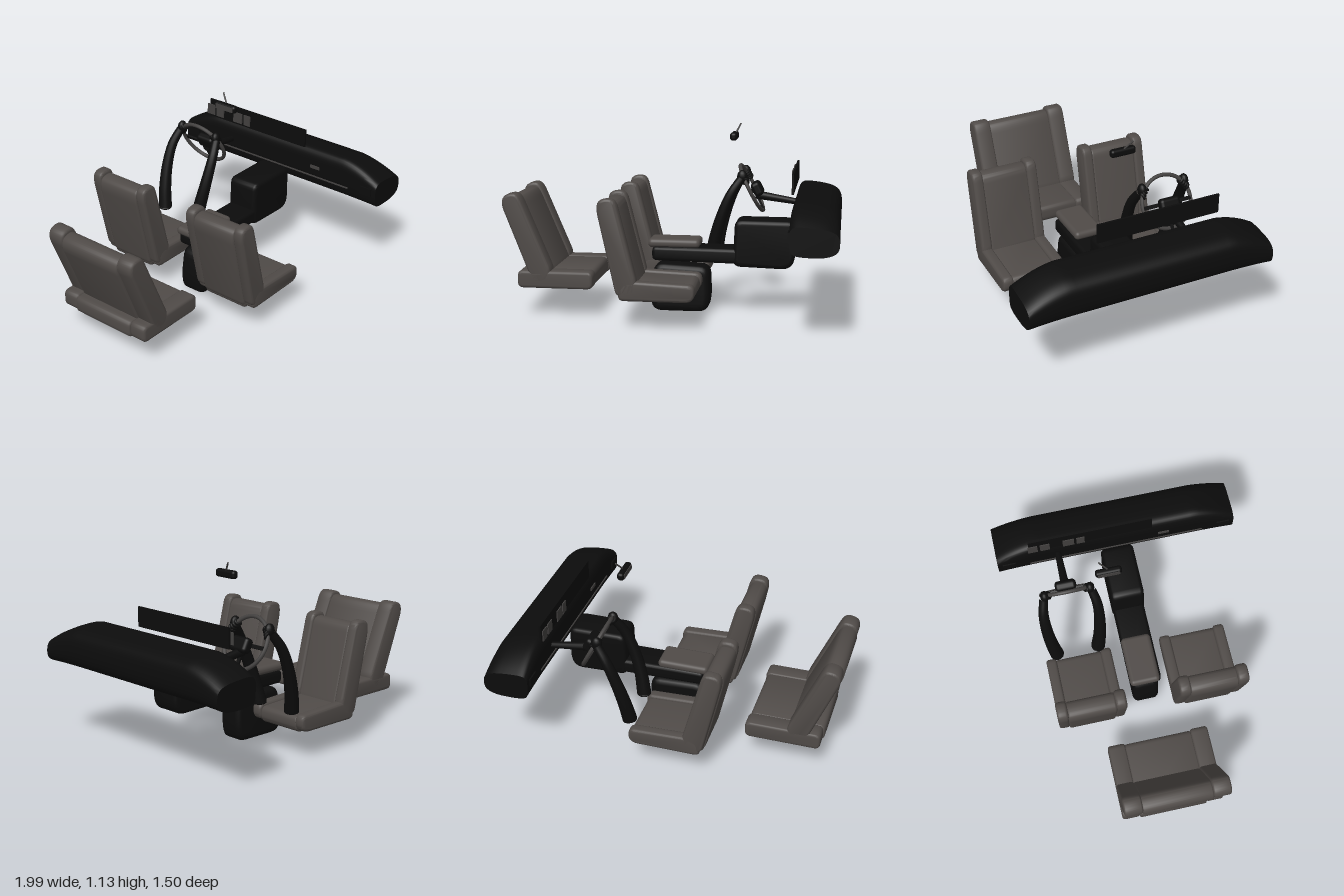
import * as THREE from 'three';
import { toCreasedNormals } from 'three/addons/utils/BufferGeometryUtils.js';
import { RoundedBoxGeometry } from 'three/addons/geometries/RoundedBoxGeometry.js';

const material = (name, color) => {
  const m = new THREE.MeshStandardMaterial({ color });
  m.name = name;
  return m;
};

export function createModel() {
  const model = new THREE.Group();
  model.name = 'carInterior';
  const fabric = material('seatFabric', 0x504b48);
  const black = material('blackTrim', 0x0c0c0c);
  const grey = material('greyTrim', 0x42403f);

  const add = (parent, name, geometry, mat, x = 0, y = 0, z = 0) => {
    const mesh = new THREE.Mesh(geometry, mat);
    mesh.name = name;
    mesh.position.set(x, y, z);
    parent.add(mesh);
    return mesh;
  };
  const group = (name) => {
    const g = new THREE.Group();
    g.name = name;
    model.add(g);
    return g;
  };

  // Side outline with rounded corners
  const roundedOutline = (points, radius) => {
    const shape = new THREE.Shape();
    const v = points.map(([x, y]) => new THREE.Vector2(x, y));
    v.forEach((p, i) => {
      const toward = (q) => p.clone().lerp(q, Math.min(0.48, radius / p.distanceTo(q)));
      const a = toward(v[(i + v.length - 1) % v.length]);
      const b = toward(v[(i + 1) % v.length]);
      if (i) shape.lineTo(a.x, a.y); else shape.moveTo(a.x, a.y);
      shape.quadraticCurveTo(p.x, p.y, b.x, b.y);
    });
    shape.closePath();
    return shape;
  };

  // Padded slab: a side outline swept from z0 to z1 with soft edges
  const slab = (points, radius, z0, z1, bevel, steps = 1) => {
    const g = new THREE.ExtrudeGeometry(roundedOutline(points, radius), {
      depth: z1 - z0 - 2 * bevel, steps, curveSegments: 5,
      bevelEnabled: bevel > 0, bevelSize: bevel, bevelThickness: bevel,
      bevelOffset: -bevel, bevelSegments: 4,
    });
    g.translate(0, 0, z0 + bevel);
    return toCreasedNormals(g, 0.7);
  };

  // Seats: centre pads with a bolster along each side
  const seat = (name, z0, z1, bolster, cushion, back, sink) => {
    const g = group(name);
    const a = z0 + bolster, b = z1 - bolster;
    [[z0, a], [b, z1]].forEach(([p, q]) => {
      add(g, 'cushionBolster', slab(cushion, 0.035, p, q, 0.017), fabric);
      add(g, 'backBolster', slab(back, 0.04, p, q, 0.017), fabric);
    });
    const pad = add(g, 'cushionPad', slab(cushion, 0.035, a - 0.005, b + 0.005, 0.014), fabric);
    pad.position.set(-0.008, -sink, 0);
    const rest = add(g, 'backPad', slab(back, 0.04, a - 0.005, b + 0.005, 0.014), fabric);
    rest.position.set(-0.002, -0.022, 0);
  };
  const frontCushion = [[-0.25, 0.178], [0.16, 0.178], [0.19, 0.21], [0.185, 0.28], [-0.2, 0.295], [-0.25, 0.26]];
  const frontBack = [[-0.26, 0.2], [-0.15, 0.21], [-0.14, 0.28], [-0.26, 0.75], [-0.3, 0.767], [-0.362, 0.755], [-0.372, 0.7]];
  seat('driverSeat', -0.58, -0.165, 0.066, frontCushion, frontBack, 0.014);
  seat('passengerSeat', 0.152, 0.57, 0.068, frontCushion, frontBack, 0.014);
  seat('rearSeat', -0.32, 0.31, 0.11,
    [[-0.907, 0.18], [-0.452, 0.18], [-0.452, 0.285], [-0.907, 0.285]],
    [[-0.81, 0.2], [-0.72, 0.22], [-0.7, 0.285], [-0.888, 0.725], [-0.92, 0.75], [-0.985, 0.735], [-1, 0.68]], 0.004);

  // Centre console
  const consoleGroup = group('centreConsole');
  add(consoleGroup, 'consoleBase', slab([[-0.13, 0.01], [0.2, 0.01], [0.222, 0.09], [0.215, 0.29], [-0.12, 0.305], [-0.15, 0.12]], 0.06, -0.082, 0.082, 0.035), black);
  add(consoleGroup, 'consoleBeam', slab([[-0.13, 0.325], [0.45, 0.315], [0.45, 0.405], [-0.13, 0.41]], 0.03, -0.1, 0.095, 0.02), black);
  add(consoleGroup, 'consoleStack', slab([[0.36, 0.3], [0.69, 0.29], [0.73, 0.34], [0.728, 0.58], [0.37, 0.582]], 0.045, -0.105, 0.1, 0.025), black);
  add(consoleGroup, 'armrest', new RoundedBoxGeometry(0.315, 0.054, 0.185, 4, 0.025), fabric, 0.001, 0.428, -0.01);

  // Dashboard, its top sloping down toward both ends
  const dash = group('dashboard');
  const body = slab([[0.74, 0.51], [0.8, 0.494], [0.92, 0.494], [0.985, 0.53], [1, 0.6], [0.99, 0.69], [0.94, 0.73],
    [0.85, 0.748], [0.75, 0.756], [0.722, 0.71], [0.726, 0.56]], 0.04, -0.75, 0.75, 0, 48);
  const pos = body.attributes.position;
  for (let i = 0; i < pos.count; i++) {
    const t = Math.max(0, (Math.abs(pos.getZ(i)) - 0.5) / 0.25);
    const squash = 1 - 0.24 * t * t - 0.12 * t;
    pos.setY(i, 0.494 + (pos.getY(i) - 0.494) * squash);
  }
  body.computeVertexNormals();
  add(dash, 'dashBody', toCreasedNormals(body, 0.6), black);
  add(dash, 'displayPanel', new THREE.BoxGeometry(0.012, 0.118, 0.765), black, 0.717, 0.819, -0.16);
  [[-0.52, 0.06], [-0.445, 0.06], [-0.3, 0.07], [-0.225, 0.05]].forEach(([z, w]) =>
    add(dash, 'gauge', new THREE.BoxGeometry(0.006, 0.07, w), grey, 0.696, 0.815, z));
  [-0.68, 0.68].forEach((z) => add(dash, 'airVent', new THREE.BoxGeometry(0.012, 0.05, 0.08), black, 0.721, 0.6, z));
  add(dash, 'trimStrip', new THREE.BoxGeometry(0.006, 0.008, 1.1), grey, 0.722, 0.575, 0);
  add(dash, 'gloveBoxHandle', new THREE.BoxGeometry(0.008, 0.02, 0.07), grey, 0.721, 0.64, 0.3);

  // Steering wheel, tipped with its top toward the driver
  const wheel = group('steeringWheel');
  wheel.position.set(0.434, 0.718, -0.37);
  wheel.rotation.z = 0.475;
  add(wheel, 'rim', new THREE.TorusGeometry(0.158, 0.012, 10, 40), grey).rotation.y = Math.PI / 2;
  add(wheel, 'hub', new RoundedBoxGeometry(0.06, 0.09, 0.13, 3, 0.022), black, 0.03, -0.02, 0);
  [0, Math.PI, -Math.PI / 2].forEach((angle) => {
    const spoke = new THREE.BoxGeometry(0.012, 0.022, 0.1);
    spoke.translate(0, 0, 0.105);
    add(wheel, 'spoke', spoke, black, 0.006, -0.01, 0).rotation.x = angle === -Math.PI / 2 ? Math.PI / 2 : angle;
  });

  // Round rod between two points
  const rod = (parent, name, from, to, r0, r1, mat) => {
    const a = new THREE.Vector3(...from), b = new THREE.Vector3(...to);
    const mesh = add(parent, name, new THREE.CylinderGeometry(r1, r0, a.distanceTo(b), 14), mat);
    mesh.position.copy(a).add(b).multiplyScalar(0.5);
    mesh.quaternion.setFromUnitVectors(new THREE.Vector3(0, 1, 0), b.sub(a).normalize());
  };
  rod(model, 'steeringColumn', [0.46, 0.675, -0.37], [0.75, 0.63, -0.37], 0.027, 0.018, black);

  // Driver's sleeves and gloved hands, mirrored about the wheel
  const rings = 24, sides = 14;
  [-1, 1].forEach((s) => {
    const arm = group(s < 0 ? 'rightArm' : 'leftArm');
    const zc = -0.37;
    const path = new THREE.CatmullRomCurve3([[0.2, 0.3, 0.132], [0.222, 0.42, 0.15], [0.265, 0.57, 0.165],
      [0.32, 0.7, 0.165], [0.38, 0.79, 0.145]].map(([x, y, z]) => new THREE.Vector3(x, y, zc + s * z)));
    const sleeve = new THREE.TubeGeometry(path, rings, 0.044, sides);
    const p = sleeve.attributes.position, v = new THREE.Vector3();
    for (let i = 0; i < p.count; i++) {
      const t = Math.floor(i / (sides + 1)) / rings;
      const c = path.getPointAt(t);
      v.fromBufferAttribute(p, i).sub(c).multiplyScalar(1 - 0.4 * t).add(c);
      p.setXYZ(i, v.x, v.y, v.z);
    }
    add(arm, 'sleeve', sleeve, black);
    add(arm, 'sleeveEnd', new THREE.SphereGeometry(0.043, 14, 10), black, 0.2, 0.3, zc + s * 0.132).scale.y = 0.35;
    const hand = add(arm, 'hand', new THREE.SphereGeometry(0.036, 14, 10), black, 0.385, 0.803, zc + s * 0.138);
    hand.scale.set(0.9, 1.15, 0.75);
    for (let f = 0; f < 4; f++) {
      const angle = 0.42 + f * 0.11;
      const finger = add(arm, 'finger', new THREE.TorusGeometry(0.019, 0.0085, 6, 12), black,
        0.434 - 0.0723 * 2 * Math.sin(angle) * 0.5, 0.718 + 0.14 * Math.sin(angle), zc + s * 0.158 * Math.cos(angle));
      finger.rotation.x = -s * (Math.PI / 2 - angle) + Math.PI / 2;
    }
  });

  // Rear-view mirror on its stem
  const mirror = group('rearViewMirror');
  add(mirror, 'mirrorHousing', new RoundedBoxGeometry(0.042, 0.048, 0.158, 4, 0.017), black, 0.346, 1.066, -0.12);
  add(mirror, 'mirrorGlass', new THREE.BoxGeometry(0.004, 0.03, 0.13), grey, 0.325, 1.066, -0.12);
  rod(mirror, 'mirrorStem', [0.352, 1.08, -0.12], [0.38, 1.138, -0.168], 0.005, 0.005, grey);

  return model;
}
